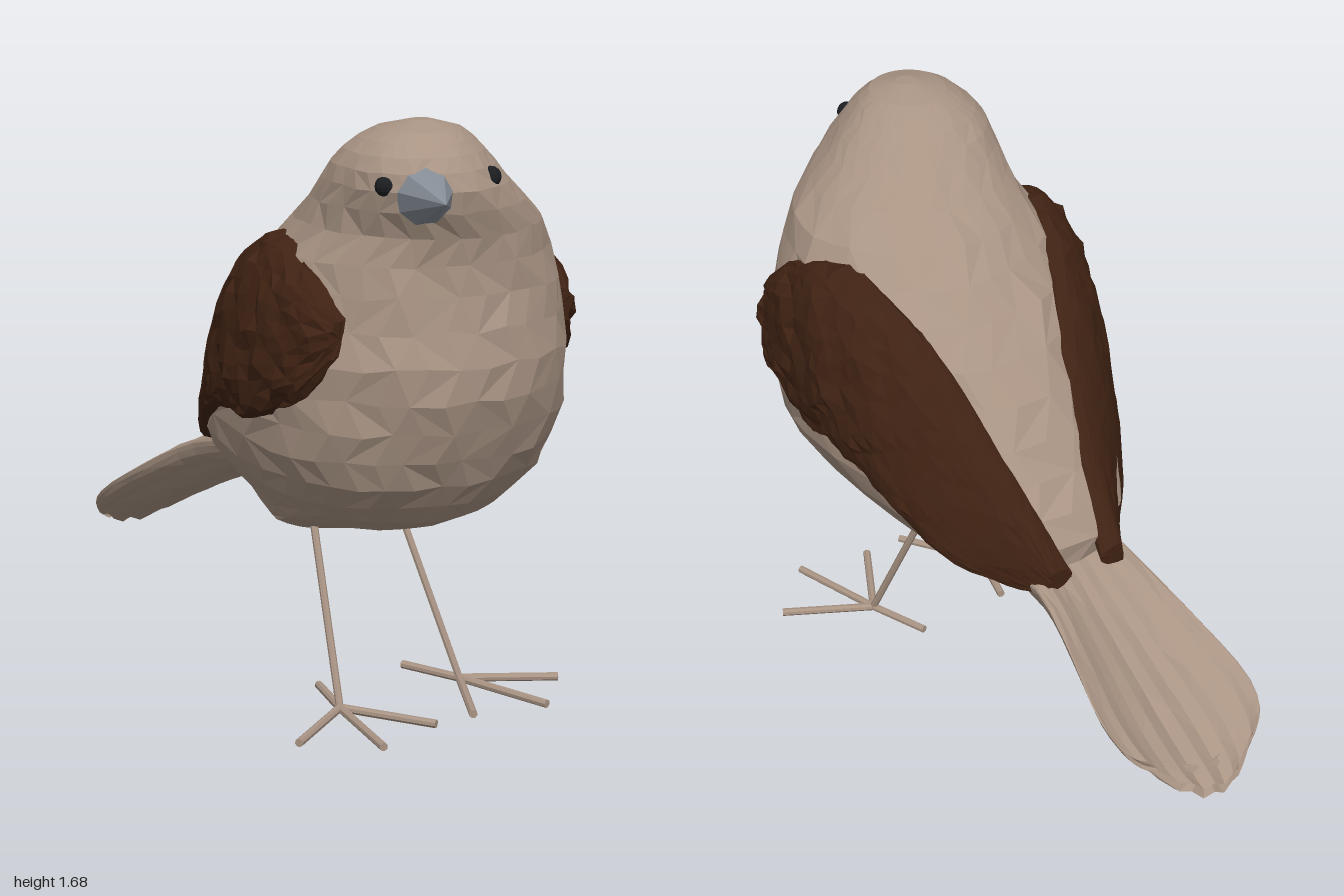
import * as THREE from 'three';

const mat = (color) => new THREE.MeshStandardMaterial({ color, flatShading: true });
const plumage = mat(0xa99484), wingBrown = mat(0x3f2213), beakGrey = mat(0x878e98), eyeBlack = mat(0x1b1d20);

// Repeatable jitter in -1..1 for the hand-carved facets
const noise = (a, b, c) => {
  const s = Math.sin(a * 127.1 + b * 311.7 + c * 74.7) * 43758.5453;
  return (s - Math.floor(s)) * 2 - 1;
};

// Smooth interpolation between table rows; the first column is the key
function rowSampler(rows) {
  const size = rows[0].length;
  const it = new THREE.CubicInterpolant(rows.map((r) => r[0]), rows.flat(), size, new Float32Array(size));
  const a = rows[0][0], b = rows[rows.length - 1][0];
  return (u) => Array.from(it.evaluate(a + (b - a) * u));
}

// Skin over closed rings of points, with a fan on each end
function loft(rings) {
  const n = rings[0].length, pos = [], idx = [];
  rings.forEach((r) => r.forEach((p) => pos.push(...p)));
  for (let i = 0; i < rings.length - 1; i++) {
    for (let j = 0; j < n; j++) {
      const a = i * n + j, b = i * n + (j + 1) % n, c = a + n, d = b + n;
      if ((i + j) % 2) idx.push(a, b, d, a, d, c);
      else idx.push(a, b, c, b, d, c);
    }
  }
  [0, rings.length - 1].forEach((i) => {
    const mid = [0, 1, 2].map((k) => rings[i].reduce((s, p) => s + p[k], 0) / n);
    const m = pos.length / 3;
    pos.push(...mid);
    for (let j = 0; j < n; j++) {
      const a = i * n + j, b = i * n + (j + 1) % n;
      if (i === 0) idx.push(m, b, a);
      else idx.push(m, a, b);
    }
  });
  const g = new THREE.BufferGeometry();
  g.setAttribute('position', new THREE.Float32BufferAttribute(pos, 3));
  g.setIndex(idx);
  g.computeVertexNormals();
  return g;
}

function add(parent, name, geometry, material) {
  const m = new THREE.Mesh(geometry, material);
  m.name = name;
  parent.add(m);
  return m;
}

// Thin rod between two points
function rod(parent, name, a, b, r) {
  const from = new THREE.Vector3(...a), to = new THREE.Vector3(...b);
  const dir = to.clone().sub(from);
  const m = add(parent, name, new THREE.CylinderGeometry(r, r, dir.length(), 8), plumage);
  m.position.copy(from).add(to).multiplyScalar(0.5);
  m.quaternion.setFromUnitVectors(new THREE.Vector3(0, 1, 0), dir.normalize());
}

// Body and turned head: horizontal slices
function bodyGeometry() {
  // y, centre x, half width, front z, back z, widest z, turn of the front
  const at = rowSampler([
    [0.425, 0, 0.09, 0.12, 0.0, 0.06, 0],
    [0.46, 0, 0.17, 0.26, -0.1, 0.08, 0],
    [0.5, 0, 0.22, 0.41, -0.2, 0.16, 0],
    [0.55, 0, 0.27, 0.62, -0.29, 0.3, 0],
    [0.62, 0, 0.34, 0.72, -0.38, 0.38, 0],
    [0.7, 0, 0.4, 0.79, -0.41, 0.42, 0],
    [0.8, 0, 0.435, 0.84, -0.35, 0.44, 0],
    [1.0, 0, 0.45, 0.895, -0.2, 0.45, 0],
    [1.2, 0, 0.425, 0.87, -0.03, 0.45, 0],
    [1.3, 0, 0.39, 0.86, 0.07, 0.47, 0.01],
    [1.4, 0, 0.34, 0.865, 0.18, 0.52, 0.03],
    [1.5, -0.06, 0.27, 0.89, 0.32, 0.58, 0.05],
    [1.58, -0.1, 0.215, 0.86, 0.41, 0.62, 0.04],
    [1.64, -0.11, 0.15, 0.8, 0.49, 0.65, 0.02],
    [1.673, -0.11, 0.08, 0.74, 0.57, 0.66, 0],
    [1.683, -0.11, 0.03, 0.69, 0.63, 0.66, 0],
  ]);
  const rings = [], R = 22, N = 32;
  for (let i = 0; i <= R; i++) {
    // closer slices near both ends, with finer jitter there
    const u = i / R, [y, cx, w, zf, zb, zc, turn] = at(u - Math.sin(u * Math.PI * 2) * 0.1);
    const j = 0.008 * Math.sin(u * Math.PI) ** 2;
    // the back leans sideways and stays blunt between the wings
    const low = THREE.MathUtils.smoothstep(1.4 - y, 0, 0.5);
    rings.push(Array.from({ length: N }, (_, k) => {
      const t = ((k + (i % 2) * 0.5) / N) * Math.PI * 2, c = Math.cos(t), s = Math.sin(t);
      const across = c < 0 ? Math.sign(s) * Math.abs(s) ** (1 - 0.15 * low) : s;
      return [
        cx + w * across - turn * Math.max(c, 0) + 0.06 * low * Math.max(-c, 0) + j * noise(i, k, 1),
        y + j * noise(i, k, 2),
        zc + c * (c > 0 ? zf - zc : zc - zb) + j * noise(i, k, 3),
      ];
    }));
  }
  return loft(rings);
}

// Tail: a fanned, trough-shaped blade with feather grooves
function tailGeometry() {
  // key, z, centre x, half width, y, half thickness, trough, tilt, rounding of the end
  const at = rowSampler([
    [0, 0.0, 0.03, 0.1, 0.66, 0.1, 0, 0, 0],
    [1, -0.25, 0.05, 0.17, 0.605, 0.095, 0.02, 0.01, 0],
    [2, -0.45, 0.05, 0.19, 0.505, 0.07, 0.09, 0.03, 0],
    [3, -0.65, 0.05, 0.235, 0.395, 0.05, 0.12, 0.05, 0.01],
    [4, -0.84, 0.05, 0.275, 0.29, 0.035, 0.13, 0.06, 0.03],
    [5, -0.96, 0.05, 0.26, 0.22, 0.024, 0.13, 0.065, 0.07],
    [6, -1.0, 0.05, 0.22, 0.2, 0.016, 0.11, 0.06, 0.1],
  ]);
  const rings = [], R = 16, N = 36;
  for (let i = 0; i <= R; i++) {
    const [, z, cx, w, y, h, trough, tilt, round] = at(i / R);
    rings.push(Array.from({ length: N }, (_, k) => {
      const t = (k / N) * Math.PI * 2, u = -Math.cos(t);
      const groove = 0.01 * (i / R) * Math.cos(u * 17) + 0.05 * h * noise(i, k, 4);
      return [cx + w * u, y + h * Math.sin(t) + trough * u * u + tilt * u + groove, z + round * u * u];
    }));
  }
  return loft(rings);
}

// Folded wing: vertical slices from shoulder to tip
function wingGeometry(side) {
  // -z, top y, bottom y, top x, bulge, bottom x
  const at = rowSampler([
    [-0.67, 1.18, 1.08, 0.38, 0.02, 0.4],
    [-0.62, 1.24, 0.99, 0.37, 0.06, 0.42],
    [-0.53, 1.31, 0.93, 0.35, 0.085, 0.43],
    [-0.35, 1.365, 0.86, 0.325, 0.11, 0.435],
    [-0.2, 1.315, 0.86, 0.285, 0.115, 0.42],
    [0, 1.195, 0.79, 0.22, 0.095, 0.38],
    [0.2, 0.975, 0.67, 0.15, 0.065, 0.3],
    [0.35, 0.8, 0.605, 0.12, 0.035, 0.18],
    [0.44, 0.68, 0.615, 0.115, 0.01, 0.13],
  ]);
  const rings = [], R = 30, N = 32;
  for (let i = 0; i <= R; i++) {
    const [k0, top, bot, xt, bulge, xb] = at(i / R);
    const shift = 0.07 * THREE.MathUtils.smoothstep(k0, -0.4, 0.3);
    const rough = 0.009 * (1 - 0.7 * THREE.MathUtils.smoothstep(k0, -0.2, 0.2));
    const ring = Array.from({ length: N }, (_, k) => {
      const t = (k / N) * Math.PI * 2, c = Math.cos(t), s = Math.sin(t);
      // overlapping feather rows
      const row = ((k0 + 0.67) * 5 + 0.35 * Math.sin(t * 3) + 1) % 1;
      const lift = s > 0 ? rough * (0.7 * noise(i, k, side) + 1.8 * row - 0.9) : 0;
      // full at the upper outside, shallow on the inside
      const out = s > 0 ? bulge * s ** 0.75 * (1 + 0.2 * c) : 0.07 * s;
      const x = xt + (xb - xt) * (1 - c) / 2 + out + lift;
      return [side * x + shift, (top + bot) / 2 + c * (top - bot) / 2 + rough * 0.7 * noise(i, k, 6), -k0 + rough * 0.5 * noise(i, k, 7)];
    });
    rings.push(side > 0 ? ring : ring.reverse());
  }
  return loft(rings);
}

export function createModel() {
  const bird = new THREE.Group();
  bird.name = 'bird';
  add(bird, 'body', bodyGeometry(), plumage);
  add(bird, 'tail', tailGeometry(), plumage);

  // Beak follows the turn of the head
  const base = new THREE.Vector3(-0.212, 1.512, 0.81), tip = new THREE.Vector3(-0.288, 1.52, 1);
  const beak = add(bird, 'beak', new THREE.ConeGeometry(0.083, base.distanceTo(tip), 9, 2), beakGrey);
  beak.position.copy(base).add(tip).multiplyScalar(0.5);
  beak.quaternion.setFromUnitVectors(new THREE.Vector3(0, 1, 0), tip.clone().sub(base).normalize());

  for (const [name, x, y, z] of [['leftEye', -0.012, 1.543, 0.83], ['rightEye', -0.294, 1.535, 0.755]]) {
    add(bird, name, new THREE.SphereGeometry(0.029, 12, 8), eyeBlack).position.set(x, y, z);
  }

  for (const side of [1, -1]) {
    const label = side > 0 ? 'left' : 'right';
    add(bird, label + 'Wing', wingGeometry(side), wingBrown);

    // Leg with three front toes and one back toe
    const leg = new THREE.Group();
    leg.name = label + 'Leg';
    leg.position.x = -0.01;
    const ankle = [side * 0.212, 0.016, 0.46];
    rod(leg, 'shank', [side * 0.145, 0.52, 0.23], ankle, 0.011);
    for (const [x, z] of [[0.455, 0.61], [0.285, 0.765], [0.065, 0.71], [0.15, 0.27]]) {
      rod(leg, 'toe', ankle, [side * x, 0.014, z], 0.012);
    }
    bird.add(leg);
  }
  return bird;
}
